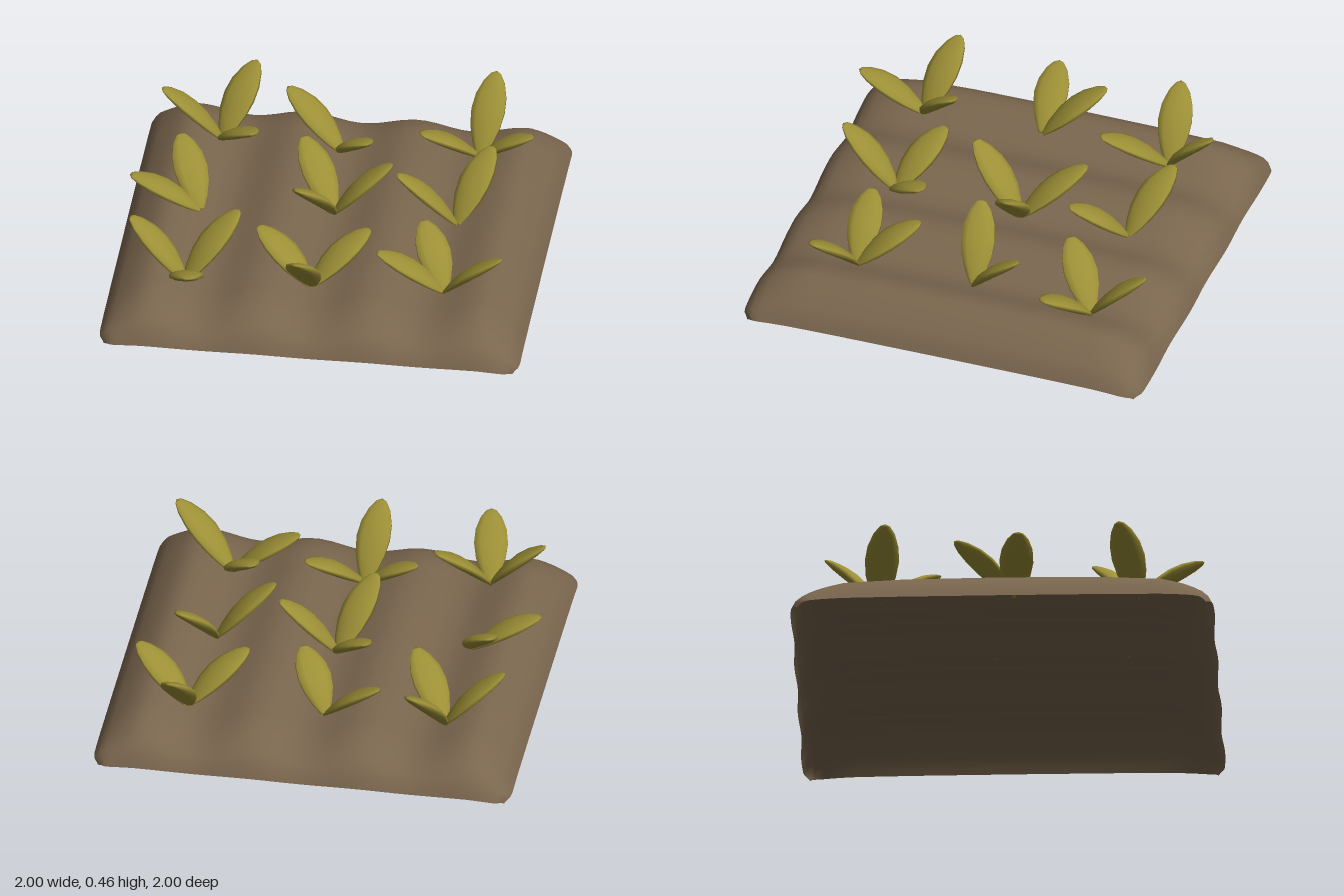
import * as THREE from 'three';
import { mergeVertices } from 'three/addons/utils/BufferGeometryUtils.js';

// Piecewise linear lookup in a list of [position, value] pairs
function lerpTable(table, d) {
  for (let i = 1; i < table.length; i++) {
    const [a, va] = table[i - 1], [b, vb] = table[i];
    if (d <= b) return va + (vb - va) * (d - a) / (b - a);
  }
  return table[table.length - 1][1];
}

// Soil height: furrows along z, falling away towards all four rims
const RIM_X = [[0, 0.24], [0.03, 0.6], [0.07, 0.78], [0.13, 0.91], [0.2, 1]];
const RIM_Z = [[0, 0.13], [0.03, 0.47], [0.07, 0.62], [0.13, 0.76], [0.24, 0.91], [0.54, 0.98], [1, 1]];
const furrow = (x) => Math.cos(2 * Math.PI * x / 0.52);
const soilHeight = (x, z) => (0.19 - 0.035 * furrow(x))
  * lerpTable(RIM_X, 1 - Math.abs(x)) * lerpTable(RIM_Z, 1 - Math.abs(z));

function soilGeometry() {
  const geo = new THREE.PlaneGeometry(2, 2, 44, 32).rotateX(-Math.PI / 2);
  const p = geo.attributes.position;
  // Rows are packed more closely near the rims
  const spread = (u) => Math.sign(u) * (1 - Math.pow(Math.max(0, 1 - Math.abs(u)), 1.4));
  for (let i = 0; i < p.count; i++) {
    const x = spread(p.getX(i)), z = spread(p.getZ(i));
    const y = soilHeight(x, z);
    // Rounded corners and a faintly scalloped front and back rim
    const corner = Math.max(0, Math.abs(x) + Math.abs(z) - 1.93) * 0.4;
    const wave = 1 - 0.005 * (1 + furrow(x)) * Math.pow(Math.abs(z), 8);
    p.setXYZ(i, x - Math.sign(x) * corner, y, (z - Math.sign(z) * corner) * wave);
  }
  geo.computeVertexNormals();
  return geo;
}

// One flattened, slightly arched leaf of unit length along y
function leafGeometry() {
  const profile = [[0, 0], [0.022, 0.01], [0.05, 0.15], [0.074, 0.33], [0.084, 0.52],
    [0.077, 0.7], [0.053, 0.87], [0.025, 0.97], [0, 1]].map(([r, t]) => new THREE.Vector2(r, t));
  let geo = new THREE.LatheGeometry(profile, 10);
  geo.deleteAttribute('uv');
  geo.deleteAttribute('normal');
  geo.scale(1, 1, 0.33);
  const p = geo.attributes.position;
  for (let i = 0; i < p.count; i++) {
    p.setZ(i, p.getZ(i) + 0.018 * Math.sin(Math.PI * p.getY(i)));
  }
  geo = mergeVertices(geo, 1e-5);
  geo.computeVertexNormals();
  return geo;
}

// Each sprout: base [x, z] and leaf tips [x, y, z]
const SPROUTS = [
  { base: [-0.62, -0.59], tips: [[-0.49, 0.465, -0.845], [-0.905, 0.46, -0.55], [-0.435, 0.4, -0.305]] },
  { base: [-0.05, -0.58], tips: [[-0.33, 0.41, -0.72], [0.1, 0.37, -0.335]] },
  { base: [0.6, -0.62], tips: [[0.64, 0.46, -0.91], [0.34, 0.39, -0.43], [0.87, 0.39, -0.465]] },
  { base: [-0.64, 0.05], tips: [[-0.77, 0.43, -0.23], [-0.97, 0.38, 0.08]] },
  { base: [-0.02, -0.05], tips: [[-0.2, 0.4, -0.33], [0.26, 0.44, -0.08], [-0.16, 0.45, 0.22]] },
  { base: [0.57, -0.03], tips: [[0.71, 0.45, -0.29], [0.29, 0.46, 0.03]] },
  { base: [-0.63, 0.63], tips: [[-0.905, 0.46, 0.55], [-0.4, 0.455, 0.42], [-0.58, 0.39, 0.945]] },
  { base: [-0.04, 0.57], tips: [[-0.315, 0.37, 0.415], [0.215, 0.37, 0.37], [-0.075, 0.45, 0.85]] },
  { base: [0.59, 0.55], tips: [[0.455, 0.38, 0.275], [0.27, 0.38, 0.58], [0.88, 0.45, 0.68]] },
];

export function createModel() {
  const model = new THREE.Group();
  model.name = 'sproutPatch';
  const soilBrown = new THREE.MeshStandardMaterial({ color: 0x7a664e, side: THREE.DoubleSide });
  soilBrown.name = 'soilBrown';
  const leafGreen = new THREE.MeshStandardMaterial({ color: 0x9c8f36 });
  leafGreen.name = 'leafGreen';

  // Soil bed, open underneath
  const soil = new THREE.Mesh(soilGeometry(), soilBrown);
  soil.name = 'soil';
  model.add(soil);

  // Sprouts with two or three leaves each
  const leafGeo = leafGeometry();
  const up = new THREE.Vector3(0, 1, 0);
  for (const { base: [bx, bz], tips } of SPROUTS) {
    const sprout = new THREE.Group();
    sprout.name = 'sprout';
    sprout.position.set(bx, soilHeight(bx, bz) + 0.005, bz);
    for (const tip of tips) {
      const along = new THREE.Vector3(...tip).sub(sprout.position);
      const length = along.length();
      along.normalize();
      const across = along.clone().cross(up).normalize();
      const face = across.clone().cross(along);
      const leaf = new THREE.Mesh(leafGeo, leafGreen);
      leaf.name = 'leaf';
      leaf.quaternion.setFromRotationMatrix(new THREE.Matrix4().makeBasis(across, along, face));
      leaf.scale.y = length;
      sprout.add(leaf);
    }
    model.add(sprout);
  }
  return model;
}
